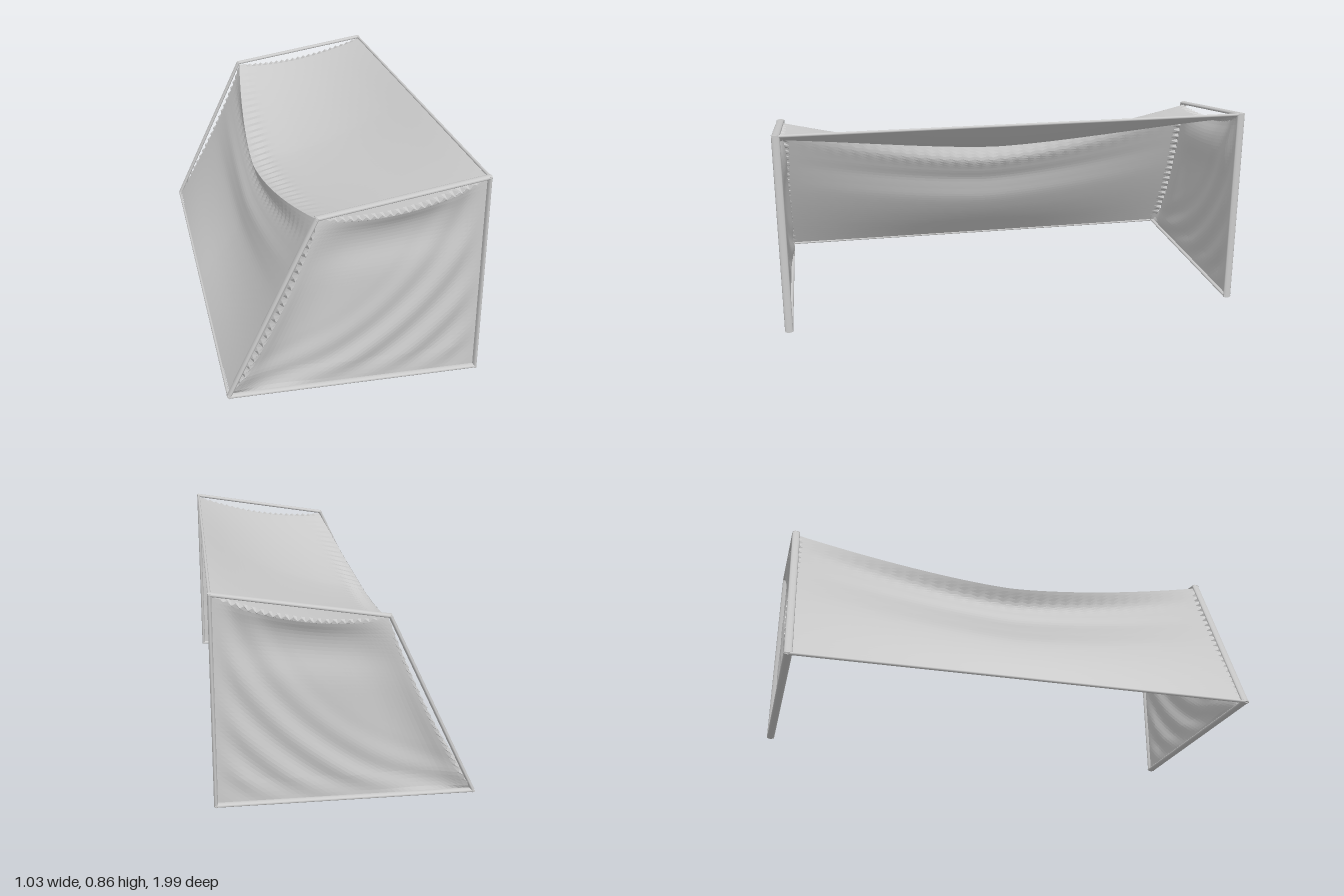
import * as THREE from 'three';

const steel = new THREE.MeshStandardMaterial({ color: 0xcccccc });
const cloth = new THREE.MeshStandardMaterial({ color: 0xcccccc, flatShading: true, side: THREE.DoubleSide });

const N = 44; // cells along a hem
const L = 64; // cells along the length
const Z = 0.972; // half length of the cloth
// Corners of each end frame: foot, ridge, top of post, foot of post
const FRAME = [[-0.51, 0.01], [-0.16, 0.75], [0.508, 0.857], [0.508, 0.01]];
// Corners of each curtain, in the same order
const [A, B, C, D] = [[-0.505, 0.015], [-0.155, 0.742], [0.505, 0.85], [0.505, 0.015]];

const lerp = THREE.MathUtils.lerp;
const bump = (d, centre, width) => Math.exp(-(((d - centre) / width) ** 2));
const curve = (pts) => new THREE.CatmullRomCurve3(pts.map(([x, y]) => new THREE.Vector3(x, y, 0)));

// Slack of the hems shared by curtain, roof and wall
const arch = (t) => Math.sin(Math.PI * t);
const topSag = (u) => 0.038 * arch(u);
const sideInset = (v) => 0.02 * arch(v);
const topRoll = (u) => 0.024 * arch(u);
const sideRoll = (v) => 0.024 * arch(Math.sqrt(v));
const tooth = (t) => (Math.round(t * N) % 2 ? 0.012 * Math.min(1, arch(t) * 3) : 0);

// Grid of (nu x nv) cells placed by a rule
function sheet(name, nu, nv, place) {
  const pos = [], index = [];
  for (let j = 0; j <= nv; j++) {
    for (let i = 0; i <= nu; i++) {
      pos.push(...place(i / nu, j / nv, i, j));
      if (i < nu && j < nv) {
        const a = j * (nu + 1) + i, b = a + nu + 1;
        index.push(a, a + 1, b + 1, a, b + 1, b);
      }
    }
  }
  const geo = new THREE.BufferGeometry();
  geo.setAttribute('position', new THREE.Float32BufferAttribute(pos, 3));
  geo.setIndex(index);
  geo.computeVertexNormals();
  const mesh = new THREE.Mesh(geo, cloth);
  mesh.name = name;
  return mesh;
}

// Rod between two points, wider across than deep
function rod(name, a, b, rx, rz) {
  const p = new THREE.Vector3(...a), q = new THREE.Vector3(...b);
  const dir = q.clone().sub(p);
  const mesh = new THREE.Mesh(new THREE.CylinderGeometry(1, 1, dir.length() + 0.01, 10), steel);
  mesh.scale.set(rx, 1, rz);
  mesh.position.copy(p).add(q).multiplyScalar(0.5);
  mesh.quaternion.setFromUnitVectors(new THREE.Vector3(0, 1, 0), dir.normalize());
  mesh.name = name;
  return mesh;
}

// End curtain: tied at the corners, sagging and creased between them
function curtain(side) {
  return sheet('endCurtain', N, N, (u, v, i, j) => {
    const at = (k) => lerp(lerp(A[k], D[k], u), lerp(B[k], C[k], u), v);
    const x = at(0) + sideInset(v) * (1 - u) ** 5 + (i === 0 ? tooth(v) : 0);
    const y = at(1) - topSag(u) * v ** 4 - (j === N ? tooth(u) : 0);
    // hems roll outward, cloth tucks in below them
    const fold = (d) => bump(d, 0, 0.07) - 0.7 * bump(d, 0.2, 0.12);
    let z = Z + topRoll(u) * fold(1 - v) + sideRoll(v) * fold(u);
    // swags slung between the low front corner and the high back corner
    const r = Math.hypot(x + 0.6, y - 1.1);
    const edge = Math.min(1, (1 - u) * 9) * Math.min(1, v * 9);
    const grow = THREE.MathUtils.smoothstep(r, 0.9, 1.15);
    z += edge * grow * 0.006 * Math.cos(((r - 1.15) / 0.13) * Math.PI * 2);
    return [x, y, side * z];
  });
}

// Roof or wall: hem shape at both ends blending into a slack middle profile
function span(name, mid, hem, roll) {
  return sheet(name, N, L, (u, v, i, j) => {
    const t = lerp(-1, 1, v), w = 1 - Math.abs(t) ** 1.55;
    const p = mid.getPointAt(u), [x, y] = hem(u, j % L === 0);
    const crease = j % 2 ? 0.006 * w * bump(u, name === 'roof' ? 0.06 : 0.9, 0.05) : 0;
    return [lerp(x, p.x, w) + crease, lerp(y, p.y, w) - crease, t * (Z + roll(u) * Math.abs(t) ** 12)];
  });
}

export function createModel() {
  const model = new THREE.Group();
  model.name = 'clothShelter';

  // End frames and curtains
  for (const side of [1, -1]) {
    const frame = new THREE.Group();
    frame.name = side > 0 ? 'frontFrame' : 'backFrame';
    ['slopingRod', 'topRod', 'post', 'groundRod'].forEach((name, k) => {
      const [a, b] = [FRAME[k], FRAME[(k + 1) % 4]];
      frame.add(rod(name, [...a, side * 0.976], [...b, side * 0.976], 0.008, 0.017));
    });
    frame.add(curtain(side));
    model.add(frame);
  }

  // Long rods carrying the free edges of the cloth
  model.add(rod('eaveRod', [0.508, 0.857, -0.97], [0.508, 0.857, 0.97], 0.006, 0.006));
  model.add(rod('hemRod', [-0.512, 0.008, -0.97], [-0.512, 0.008, 0.97], 0.006, 0.006));

  // Roof, hanging from the eave down to the slack ridge
  const roofMid = curve([[-0.242, 0.563], [-0.198, 0.58], [0, 0.622], [0.2, 0.69], [0.36, 0.768], [0.507, 0.857]]);
  model.add(span('roof', roofMid, (u, end) => [
    lerp(B[0], C[0], u),
    lerp(B[1], C[1], u) - topSag(u) - (end ? tooth(u) : 0),
  ], topRoll));

  // Sloping wall, tucking inward below the ridge
  const wallMid = curve([[-0.51, 0.01], [-0.41, 0.12], [-0.35, 0.2], [-0.31, 0.27], [-0.292, 0.33],
    [-0.278, 0.38], [-0.25, 0.43], [-0.225, 0.49], [-0.242, 0.563]]);
  model.add(span('slopingWall', wallMid, (v, end) => [
    lerp(A[0], B[0], v) + sideInset(v) + (end ? tooth(v) : 0),
    lerp(A[1], B[1], v),
  ], sideRoll));

  return model;
}
